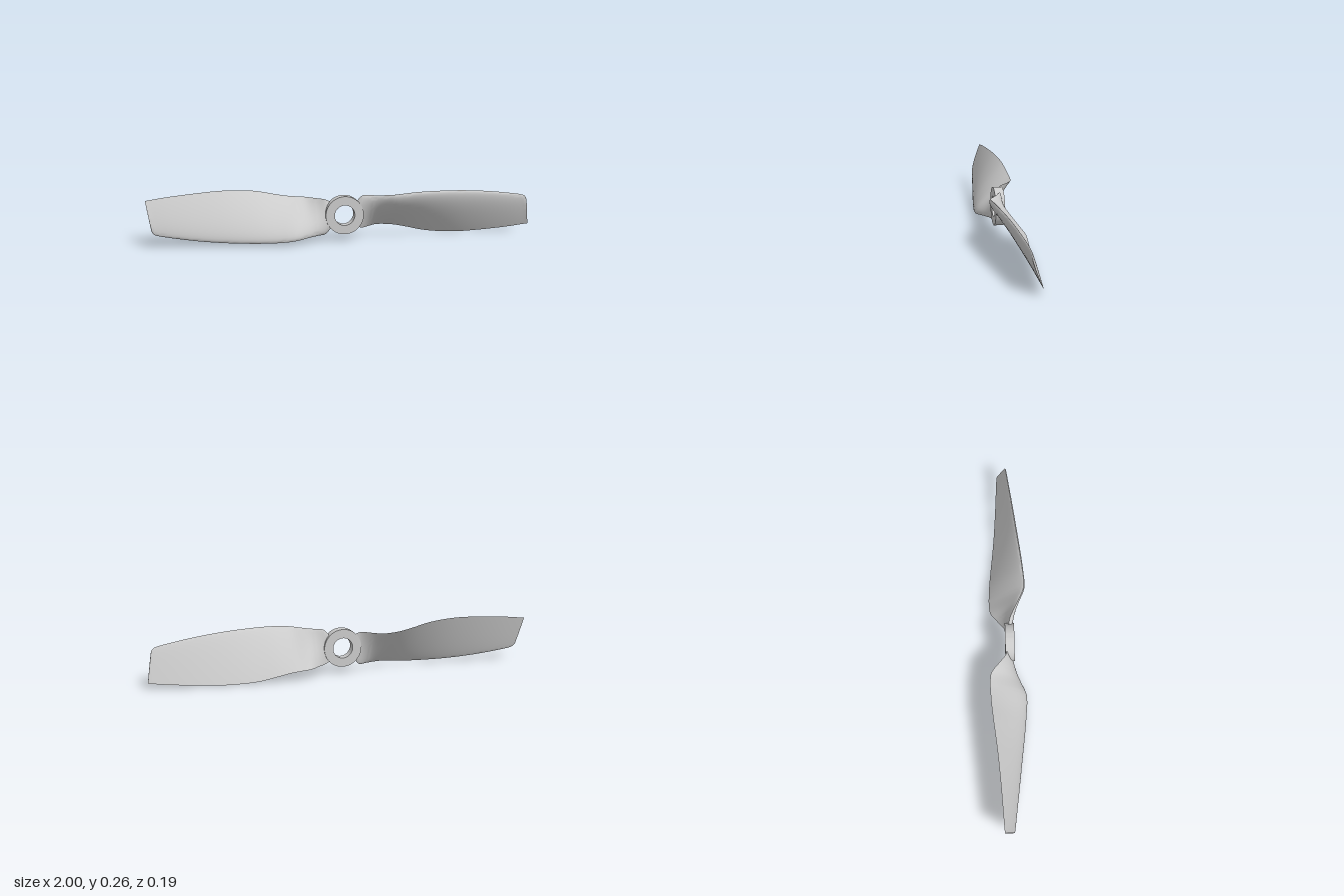
import * as THREE from 'three';
import { toCreasedNormals } from 'three/addons/utils/BufferGeometryUtils.js';

const CENTER_Y = 0.134;
const material = new THREE.MeshStandardMaterial({ color: 0xcccccc });

// Per row: leading edge x, y, z, then trailing edge x, y, z, then thickness
const STATIONS = [
  [0.07, 0.205, 0.003, 0.07, 0.066, -0.009, 0.026],
  [0.095, 0.231, 0.010, 0.095, 0.056, -0.016, 0.028],
  [0.14, 0.234, 0.030, 0.14, 0.055, -0.052, 0.030],
  [0.19, 0.237, 0.055, 0.19, 0.054, -0.090, 0.032],
  [0.25, 0.243, 0.082, 0.25, 0.050, -0.097, 0.034],
  [0.29, 0.247, 0.085, 0.29, 0.045, -0.096, 0.034],
  [0.35, 0.251, 0.080, 0.35, 0.033, -0.093, 0.033],
  [0.45, 0.252, 0.069, 0.45, 0.012, -0.084, 0.031],
  [0.60, 0.247, 0.050, 0.60, 0.002, -0.068, 0.027],
  [0.75, 0.234, 0.032, 0.75, 0.009, -0.056, 0.022],
  [0.88, 0.216, 0.016, 0.90, 0.022, -0.047, 0.017],
  [0.945, 0.204, 0.009, 0.97, 0.031, -0.043, 0.013],
  [0.962, 0.197, 0.007, 0.985, 0.033, -0.042, 0.012],
  [0.972, 0.184, 0.004, 0.995, 0.034, -0.041, 0.011],
  [0.976, 0.168, 0.000, 1.0, 0.035, -0.040, 0.009],
];

// Airfoil half-thickness along the chord, peak near 1
const foil = (u) =>
  (0.2969 * Math.sqrt(u) - 0.126 * u - 0.3516 * u ** 2 + 0.2843 * u ** 3 - 0.1036 * u ** 4) / 0.1;

function bladeGeometry() {
  const edge = (k) => new THREE.CatmullRomCurve3(
    STATIONS.map((s) => new THREE.Vector3(s[k], s[k + 1] - CENTER_Y, s[k + 2])), false, 'centripetal');
  const leading = edge(0);
  const trailing = edge(3);
  const spans = STATIONS.length - 1;
  const rows = spans * 5;
  const half = 18;
  const ring = half * 2;
  const positions = [];
  const index = [];

  // Loft: front skin from leading to trailing edge, then back skin in return
  for (let i = 0; i <= rows; i++) {
    const t = i / rows;
    const k = Math.min(Math.floor(t * spans), spans - 1);
    const thick = THREE.MathUtils.lerp(STATIONS[k][6], STATIONS[k + 1][6], t * spans - k);
    const a = leading.getPoint(t);
    const b = trailing.getPoint(t);
    const normal = new THREE.Vector3(0, b.z - a.z, a.y - b.y).normalize();
    for (let j = 0; j < ring; j++) {
      const front = j <= half;
      const u = (1 - Math.cos((Math.PI * (front ? j : ring - j)) / half)) / 2;
      const offset = thick * foil(u) * (front ? 0.82 : -0.18);
      positions.push(...a.clone().lerp(b, u).addScaledVector(normal, offset).toArray());
    }
  }
  for (let i = 0; i < rows; i++) {
    for (let j = 0; j < ring; j++) {
      const a = i * ring + j;
      const b = i * ring + ((j + 1) % ring);
      index.push(a, b, a + ring, b, b + ring, a + ring);
    }
  }
  // End caps, stitched straight across the section
  const tip = rows * ring;
  for (let j = 0; j < half; j++) {
    const p = j, q = j + 1, r = ring - j - 1, s = (ring - j) % ring;
    index.push(tip + p, tip + q, tip + r, tip + p, tip + r, tip + s);
    index.push(p, r, q, p, s, r);
  }
  const geometry = new THREE.BufferGeometry();
  geometry.setAttribute('position', new THREE.Float32BufferAttribute(positions, 3));
  geometry.setIndex(index);
  return toCreasedNormals(geometry, 0.7);
}

function hubGeometry() {
  const shape = new THREE.Shape().absarc(0, 0, 0.098, 0, Math.PI * 2, false);
  shape.holes.push(new THREE.Path().absarc(0, 0, 0.052, 0, Math.PI * 2, true));
  const geometry = new THREE.ExtrudeGeometry(shape, { depth: 0.047, bevelEnabled: false, curveSegments: 64 });
  return toCreasedNormals(geometry.translate(0, 0, -0.017), 0.6);
}

export function createModel() {
  const group = new THREE.Group();
  group.name = 'propeller';

  // Ring hub with shaft hole
  const hub = new THREE.Mesh(hubGeometry(), material);
  hub.name = 'hub';
  hub.position.y = CENTER_Y;
  group.add(hub);

  // Two identical blades, half a turn apart
  const geometry = bladeGeometry();
  ['leftBlade', 'rightBlade'].forEach((name, i) => {
    const blade = new THREE.Mesh(geometry, material);
    blade.name = name;
    blade.position.y = CENTER_Y;
    blade.rotation.z = i * Math.PI;
    group.add(blade);
  });
  return group;
}
